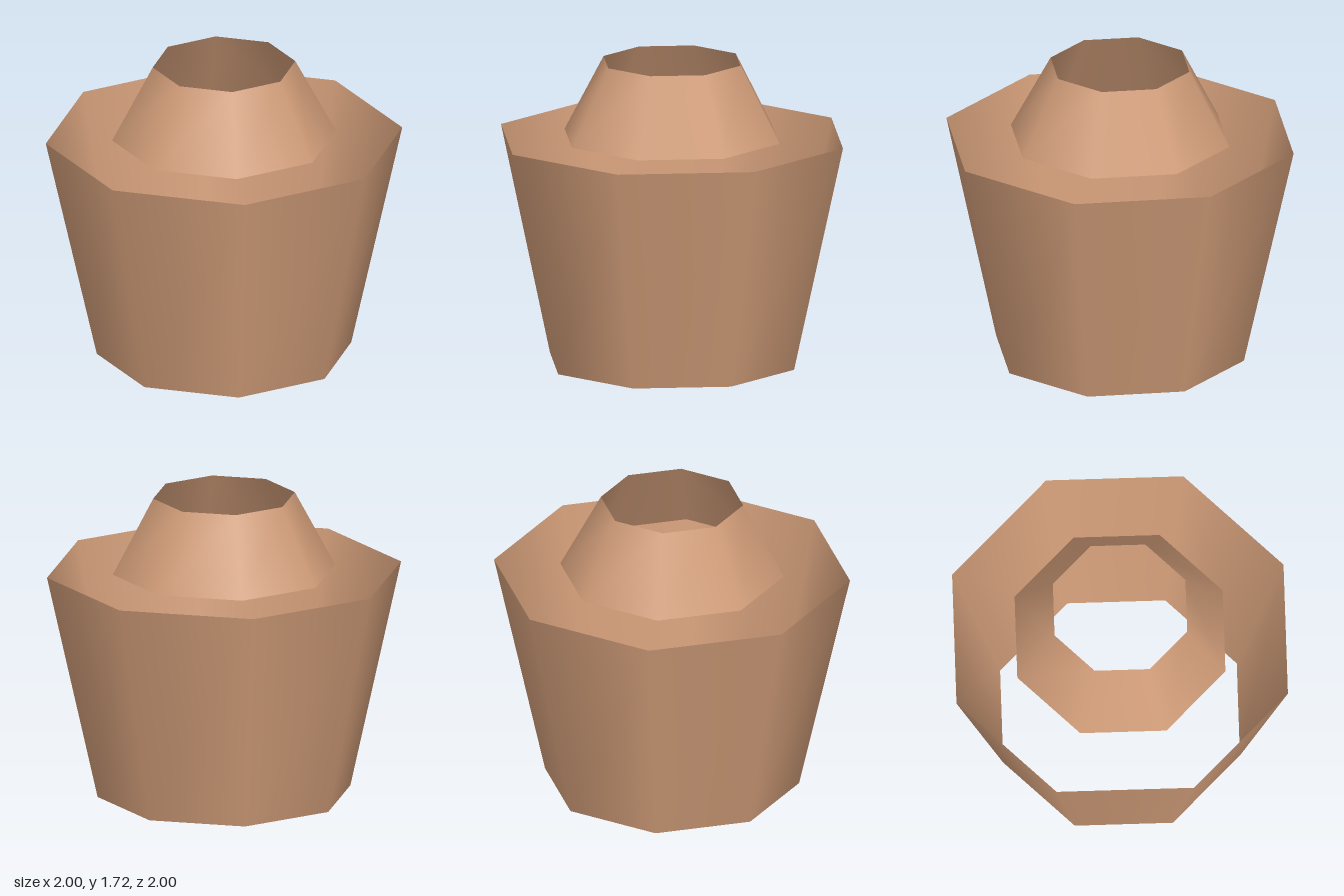
import * as THREE from 'three';

const SIDES = 8;

export function createModel() {
  const group = new THREE.Group();
  const material = new THREE.MeshStandardMaterial({ color: 0xd09c78, side: THREE.DoubleSide });

  // Open eight-sided tapered shell between two heights
  const addShell = (name, bottomRadius, topRadius, y0, y1) => {
    const geometry = new THREE.CylinderGeometry(topRadius, bottomRadius, y1 - y0, SIDES, 1, true);
    const mesh = new THREE.Mesh(geometry, material);
    mesh.name = name;
    mesh.position.y = (y0 + y1) / 2;
    group.add(mesh);
  };

  // Pot wall, flaring upward, open at both ends
  addShell('potWall', 0.714, 1, 0, 1.286);
  // Collar floating inside the rim, narrowing upward
  addShell('collar', 0.628, 0.4, 1.286, 1.717);

  return group;
}
